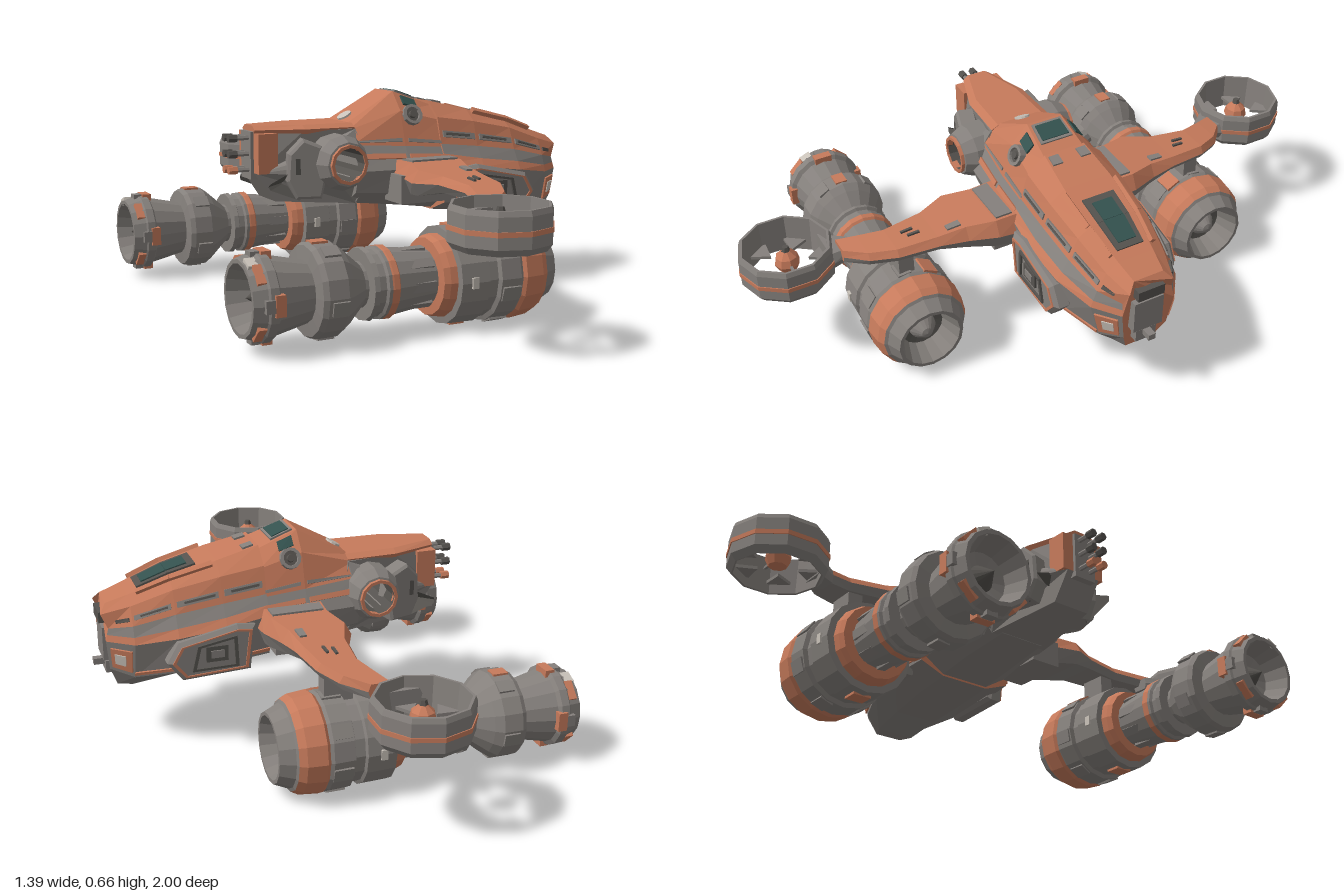
import * as THREE from 'three';

const mat = (name, color) => { const m = new THREE.MeshStandardMaterial({ color }); m.name = name; return m; };
const PAL = [mat('rust orange', 0xc67a5b), mat('hull grey', 0x85807c), mat('dark grey', 0x56534f),
  mat('teal glass', 0x34524f), mat('pale grey', 0xc9c2b9)];
const O = 0, G = 1, D = 2, T = 3, L = 4;
const V = (x, y, z) => new THREE.Vector3(x, y, z);

// Faceted copy of a geometry, optionally mirrored across z = 0
function facet(geo, mirror) {
  const g = geo.index ? geo.toNonIndexed() : geo.clone();
  g.deleteAttribute('uv');
  if (mirror) {
    const p = g.attributes.position, a = V(), b = V();
    for (let i = 0; i < p.count; i++) p.setZ(i, -p.getZ(i));
    for (let i = 0; i < p.count; i += 3) {
      a.fromBufferAttribute(p, i + 1); b.fromBufferAttribute(p, i + 2);
      p.setXYZ(i + 1, b.x, b.y, b.z); p.setXYZ(i + 2, a.x, a.y, a.z);
    }
  }
  g.computeVertexNormals();
  return g;
}

// Skin through rings of points; one colour per strip plus a cap colour
function loft(rings, strips, cap) {
  const pos = [], geo = new THREE.BufferGeometry(), n = rings[0].length;
  const tri = (...p) => p.forEach(v => pos.push(v.x, v.y, v.z));
  for (let i = 0; i < n; i++) {
    const start = pos.length / 3, j = (i + 1) % n;
    for (let k = 0; k + 1 < rings.length; k++) {
      const [r, s] = [rings[k], rings[k + 1]];
      tri(r[i], r[j], s[i]); tri(r[j], s[j], s[i]);
    }
    geo.addGroup(start, pos.length / 3 - start, strips[i % strips.length]);
  }
  const start = pos.length / 3, first = rings[0], last = rings.at(-1);
  for (let i = 1; i + 1 < n; i++) { tri(first[0], first[i + 1], first[i]); tri(last[0], last[i], last[i + 1]); }
  geo.addGroup(start, pos.length / 3 - start, cap);
  geo.setAttribute('position', new THREE.Float32BufferAttribute(pos, 3));
  return geo;
}

// Hull section: half outline [z, y, optional x shift] from top to bottom, mirrored
const hullRing = ([x, ...h]) => {
  const half = h.map(([z, y, dx = 0]) => V(x + dx, y, z));
  return [...half, ...half.map(p => V(p.x, p.y, -p.z)).reverse()];
};
const hullStrips = half => [...half, G, ...half.toReversed(), O];

// Raised plate lying on one quad of a skin
function plate(rings, k, i, u0, u1, v0, v1, color, h = 0.006) {
  const [r, s] = [rings[k], rings[k + 1]], j = (i + 1) % r.length;
  const at = (u, v) => r[i].clone().lerp(r[j], v).lerp(s[i].clone().lerp(s[j], v), u);
  const ring = [at(u0, v0), at(u0, v1), at(u1, v1), at(u1, v0)];
  const nrm = ring[1].clone().sub(ring[0]).cross(ring[3].clone().sub(ring[0])).normalize();
  const lift = d => ring.map(p => p.clone().addScaledVector(nrm, d));
  return loft([lift(-0.008), lift(h)], [color], color);
}

const box = (x0, x1, y0, y1, z0, z1) =>
  new THREE.BoxGeometry(x1 - x0, y1 - y0, z1 - z0).translate((x0 + x1) / 2, (y0 + y1) / 2, (z0 + z1) / 2);
// Lathe profile as [position along axis, radius]
const lathe = (pts, n) => new THREE.LatheGeometry(pts.map(([a, r]) => new THREE.Vector2(r, a)), n);
const poly = pts => new THREE.Shape(pts.map(p => new THREE.Vector2(...p)));
const slab = (shape, depth, bevel = 0) => new THREE.ExtrudeGeometry(shape,
  { depth, bevelEnabled: bevel > 0, bevelSize: bevel, bevelThickness: bevel, bevelSegments: 1, curveSegments: 5 });
// Flat frame: a polygon with a smaller copy of itself cut out
const frame = (pts, cx, cy, s) => {
  const shape = poly(pts);
  shape.holes.push(new THREE.Path(pts.map(([x, y]) => new THREE.Vector2(cx + (x - cx) * s, cy + (y - cy) * s))));
  return shape;
};

export function createModel() {
  const root = new THREE.Group();
  root.name = 'gunship';
  const add = (name, geo, color, mirror = false) => {
    const m = new THREE.Mesh(facet(geo, mirror), color === undefined ? PAL : PAL[color]);
    m.name = name; root.add(m);
  };
  const pair = (name, geo, color) => { add(name + 'Left', geo, color); add(name + 'Right', geo, color, true); };

  // Middle hull with the raised hump
  const mid = [
    [-0.15, [.07, .56], [.10, .545], [.13, .50], [.175, .42], [.15, .35], [.08, .31]],
    [0.03, [.06, .66], [.115, .60], [.15, .49], [.19, .42], [.17, .34], [.09, .29]],
    [0.17, [.07, .61], [.125, .565], [.155, .48], [.195, .41], [.17, .32], [.09, .27]],
  ].map(hullRing);
  add('middleHull', loft(mid, hullStrips([O, O, G, G, G]), G));
  add('humpWindowFrame', plate(mid, 1, 11, .08, .6, .08, .92, G));
  add('humpWindow', plate(mid, 1, 11, .14, .54, .14, .86, T, .009));
  pair('humpSideWindow', plate(mid, 1, 0, .15, .5, .15, .6, T));
  for (let k = 0; k < 2; k++) {
    pair('humpStripe', plate(mid, k, 2, .05, .95, .35, .55, O));
    pair('humpSeam', plate(mid, k, 1, .1, .95, .78, .88, G, .004));
  }
  const roundel = pts => lathe(pts, 12).rotateX(Math.PI / 2 - .45).translate(.07, .585, .118);
  pair('humpRoundel', roundel([[-.02, .036], [.012, .034], [.012, .024], [0, .022]]), G);
  pair('humpRoundelCore', roundel([[.004, .024], [.004, .013], [.012, .011], [.012, 0]]), D);
  add('deckHatch', new THREE.CylinderGeometry(.025, .025, .008, 12).rotateZ(.507).translate(-.115, .582, 0), L);

  // Cabin and nose
  const cab = [
    [.16, [.07, .625], [.13, .575], [.155, .49], [.173, .46], [.19, .43], [.18, .30], [.09, .265]],
    [.30, [.08, .592], [.13, .555], [.155, .475], [.18, .437], [.20, .41], [.19, .29], [.09, .25]],
    [.45, [.075, .553], [.12, .525], [.15, .455], [.173, .417], [.19, .39], [.17, .27], [.08, .23]],
    [.58, [.06, .505], [.10, .48], [.13, .425], [.142, .392], [.15, .37], [.12, .25], [.07, .205]],
    [.65, [.05, .482], [.075, .455, .02], [.085, .41], [.087, .39, .005], [.09, .37, .01], [.075, .27], [.05, .205, -.025]],
  ].map(hullRing);
  add('cabin', loft(cab, hullStrips([O, O, G, O, G, G]), O));
  add('canopyFrame', plate(cab, 1, 13, .4, 1, .15, .85, D));
  add('canopyGlass', plate(cab, 1, 13, .55, 1, .28, .72, T, .01));
  add('canopyFrontFrame', plate(cab, 2, 13, 0, .75, .15, .85, D));
  add('canopyFrontGlass', plate(cab, 2, 13, 0, .6, .27, .73, T, .01));
  pair('canopyRail', plate(cab, 1, 0, .1, 1, .02, .3, O, .014));
  pair('canopyFrontRail', plate(cab, 2, 0, 0, .8, .02, .3, O, .014));
  for (let k = 0; k < 3; k++) {
    pair('cabinPanelBand', plate(cab, k, 1, .08, .95, .5, .74, G, .005));
    pair('cabinSeam', plate(cab, k, 1, .15, .8, .57, .66, D, .008));
    pair('sillStripe', plate(cab, k, 4, 0, 1, .84, .92, O));
  }
  pair('roofVent', plate(cab, 0, 13, .1, .35, .72, .95, G));
  pair('noseWindowFrame', plate(cab, 3, 4, .08, .85, .2, .85, O));
  pair('noseWindow', plate(cab, 3, 4, .3, .7, .36, .68, L, .009));
  pair('noseCheekSlot', plate(cab, 3, 1, .1, .6, .55, .75, D));
  add('nosePanel', box(.63, .664, .29, .40, -.05, .05), G);
  add('noseWindowFront', box(.64, .672, .415, .45, -.045, .045), D);
  add('noseChin', box(.62, .656, .24, .28, -.035, .035), G);
  add('noseProbe', box(.64, .69, .262, .282, -.012, .012), G);

  // Side doors on the cabin
  const outline = [[.225, .405], [.27, .41], [.45, .372], [.48, .32], [.44, .27], [.24, .28]].reverse();
  pair('doorPod', slab(poly(outline), .035, .012).translate(0, 0, .17), G);
  pair('doorEdge', slab(frame(outline, .35, .34, .92), .006).translate(0, 0, .215), O);
  const leaf = [[.27, .29], [.42, .288], [.40, .37], [.275, .392]];
  pair('doorFrame', slab(frame(leaf, .34, .335, .84), .008).translate(0, 0, .216), D);
  pair('doorInset', box(.305, .375, .315, .365, .21, .224), D);
  pair('doorHandle', box(.318, .36, .328, .352, .22, .228), G);

  // Aft hull, pierced from side to side by a round port
  const aft = poly([[-.445, .55], [-.45, .42], [-.39, .33], [-.13, .31], [-.1, .42], [-.13, .55], [-.3, .55]]);
  aft.holes.push(new THREE.Path().absarc(-.2, .45, .055, 0, Math.PI * 2, true));
  const aftGeo = slab(aft, 2).translate(0, 0, -1);
  const p = aftGeo.attributes.position;
  for (let i = 0; i < p.count; i++) {
    const w = THREE.MathUtils.clamp(.065 + (p.getX(i) + .45) * .5, .065, .17);
    p.setZ(i, p.getZ(i) * w * (1 - Math.abs(p.getY(i) - .43) * 3));
  }
  add('aftHull', aftGeo, G);
  const deck = [[-.45, .03, .05, .568], [-.3, .075, .1, .567], [-.13, .08, .105, .567]].map(([x, a, b, y]) =>
    hullRing([x, [a, y], [b, .555], [b - .01, .54]]));
  add('aftDeck', loft(deck, [O], O));
  const around = pts => lathe(pts, 12).rotateX(Math.PI / 2).translate(-.2, .45, 0);
  add('portLining', around([[.207, .053], [-.207, .053]]), D);
  pair('portCollar', around([[.08, .09], [.16, .088], [.2, .07], [.202, .06]]), G);
  pair('portRim', around([[.195, .064], [.212, .063], [.212, .053], [.19, .053]]), O);
  const pod = poly([[-.38, .48], [-.34, .52], [-.29, .5], [-.275, .42], [-.29, .35], [-.36, .35], [-.385, .4]].reverse());
  pair('aftSidePod', slab(pod, .05, .008).rotateY(-.25).translate(.02, 0, .17), G);
  pair('aftPodSlot', box(-.345, -.305, .42, .47, .1, .168).rotateY(-.1).translate(.01, 0, .005), D);
  pair('tailPlate', box(-.45, -.385, .42, .545, .03, .08), O);
  pair('tailSpike', loft([[V(-.43, .375, .125), V(-.43, .395, .125), V(-.435, .385, .118)],
    [V(-.33, .335, .12), V(-.33, .44, .12), V(-.34, .39, .05)]], [D], D));
  add('tailBlock', box(-.46, -.4, .40, .55, -.04, .04), G);

  // Tail guns, three rows of two
  for (const y of [.43, .48, .53]) {
    pair('gunBarrel', new THREE.CylinderGeometry(.008, .008, .08, 6).rotateZ(Math.PI / 2).translate(-.48, y, .02), G);
    pair('gunMuzzle', new THREE.CylinderGeometry(.013, .013, .028, 6).rotateZ(Math.PI / 2).translate(-.513, y, .02), y < .45 ? O : D);
  }

  // Wings: [z, rear x, front x, bottom y, top y]
  const wingRing = ([z, a, b, lo, hi]) => {
    const m = (lo + hi) / 2, e = (b - a) * .1;
    return [V(b - e, hi, z), V(a + e, hi, z), V(a, m, z), V(a + e, lo, z), V(b - e, lo, z), V(b, m, z)];
  };
  const wing = [[.15, -.04, .2, .33, .45], [.25, -.03, .2, .35, .45], [.34, -.055, .17, .36, .44],
    [.43, -.015, .155, .38, .43], [.56, 0, .135, .375, .42], [.64, -.025, .095, .365, .41], [.7, -.045, .03, .355, .4]].map(wingRing);
  pair('wing', loft(wing, [O, O, G, G, G, O], O));
  pair('wingTip', loft([[.655, -.055, .005, .345, .385], [.735, -.125, .02, .325, .385]].map(wingRing), [G], G));
  pair('wingRootPlate', plate(wing, 0, 0, .4, .95, .05, .95, G));
  pair('wingPanel', plate(wing, 2, 0, .1, .6, .08, .22, G));
  pair('wingSlot', plate(wing, 3, 0, .3, .6, .35, .42, D));
  pair('wingSlotFront', plate(wing, 3, 0, .4, .7, .55, .62, D));
  pair('wingRoot', box(-.04, .16, .32, .41, .14, .25), G);
  pair('enginePylon', box(.02, .11, .28, .39, .505, .555), G);

  // Engines, front to +x
  const EY = .157, EZ = .53;
  const turn = pts => lathe(pts, 16).rotateZ(-Math.PI / 2).translate(0, EY, EZ);
  [['nozzle', G, [[-.62, .03], [-.63, .075], [-.7, .098], [-.7, .11], [-.66, .122], [-.655, .128], [-.63, .128], [-.622, .115]]],
    ['nozzleCore', D, [[-.68, 0], [-.62, .04], [-.62, .08]]],
    ['tailCone', G, [[-.622, .115], [-.51, .09], [-.505, .13], [-.49, .138], [-.43, .137], [-.405, .12], [-.345, .067], [-.335, .067],
      [-.335, .105], [-.32, .108], [-.315, .098], [-.295, .098], [-.29, .107], [-.28, .107]]],
    ['waistBand', O, [[-.28, .107], [-.275, .108], [-.258, .108], [-.252, .1]]],
    ['waist', G, [[-.252, .1], [-.12, .084]]],
    ['collar', O, [[-.12, .084], [-.118, .115], [-.1, .122], [-.078, .125]]],
    ['casing', G, [[-.078, .125], [-.076, .146], [.015, .148], [.02, .138], [.05, .138], [.055, .152], [.12, .154], [.13, .148]]],
    ['bulge', O, [[.13, .148], [.14, .156], [.2, .15], [.222, .138]]],
    ['intakeLip', G, [[.222, .138], [.227, .128], [.272, .108], [.272, .097], [.2, .07]]],
    ['intakeThroat', D, [[.2, .07], [.19, 0]]],
    ['intakeHub', G, [[.19, .045], [.21, .042], [.24, .018], [.245, 0]]],
  ].forEach(([name, color, pts]) => pair(name, turn(pts), color));
  // Raised engine panels: [name, x start, x end, radius, colour, count, phase, half width]
  const UP = -Math.PI / 2;
  [['nozzlePad', -.695, -.665, .115, L, 1, UP + .4, .02], ['nozzleClamp', -.685, -.66, .117, O, 4, UP + .8, .03],
    ['nozzleBrace', -.645, -.615, .127, O, 4, UP, .03], ['nozzleGrip', -.672, -.62, .126, G, 4, 0, .018],
    ['clampPad', -.49, -.44, .136, O, 1, UP, .02], ['clampGrip', -.48, -.43, .137, G, 5, .2, .02],
    ['waistRib', -.24, -.13, .088, G, 8, .1, .014], ['casingPad', -.05, .0, .145, O, 2, UP, .03],
    ['casingHatch', .06, .12, .151, G, 7, .3, .022], ['casingTopPad', .06, .125, .152, O, 1, UP - .5, .025],
    ['sideLabel', -.045, -.025, .147, L, 2, 0, .016],
  ].forEach(([name, a, b, r, color, n, phase, w]) => {
    for (let i = 0; i < n; i++) pair(name, box(a, b, -w, w, r - .02, r + .004)
      .rotateX(phase + i * Math.PI * 2 / n).translate(0, EY, EZ), color);
  });

  // Ducted lift fans at the wing tips
  const FX = -.07, FZ = .85;
  const fan = pts => lathe(pts, 10).translate(FX, 0, FZ);
  pair('fanDuct', fan([[.3, .127], [.298, .132], [.318, .148], [.405, .148], [.42, .142], [.42, .134], [.3, .127]]), G);
  pair('fanStripe', fan([[.352, .147], [.352, .151], [.366, .151], [.366, .147]]), O);
  pair('fanHub', lathe([[.315, 0], [.325, .028], [.35, .04], [.375, .034], [.395, .012], [.4, 0]], 8).translate(FX, 0, FZ), O);
  pair('fanHubCap', new THREE.CylinderGeometry(.01, .014, .015, 6).translate(FX, .402, FZ), D);
  const vane = poly([[.13, -.042], [.13, .042], [.068, 0]]);
  for (let i = 0; i < 6; i++) pair('fanVane', slab(vane, .01)
    .rotateX(-Math.PI / 2).rotateY((i + .5) * Math.PI / 3).translate(FX, .33, FZ), G);
  pair('fanStrut', box(FX + .03, FX + .08, .35, .358, FZ - .004, FZ + .004), G);

  return root;
}
